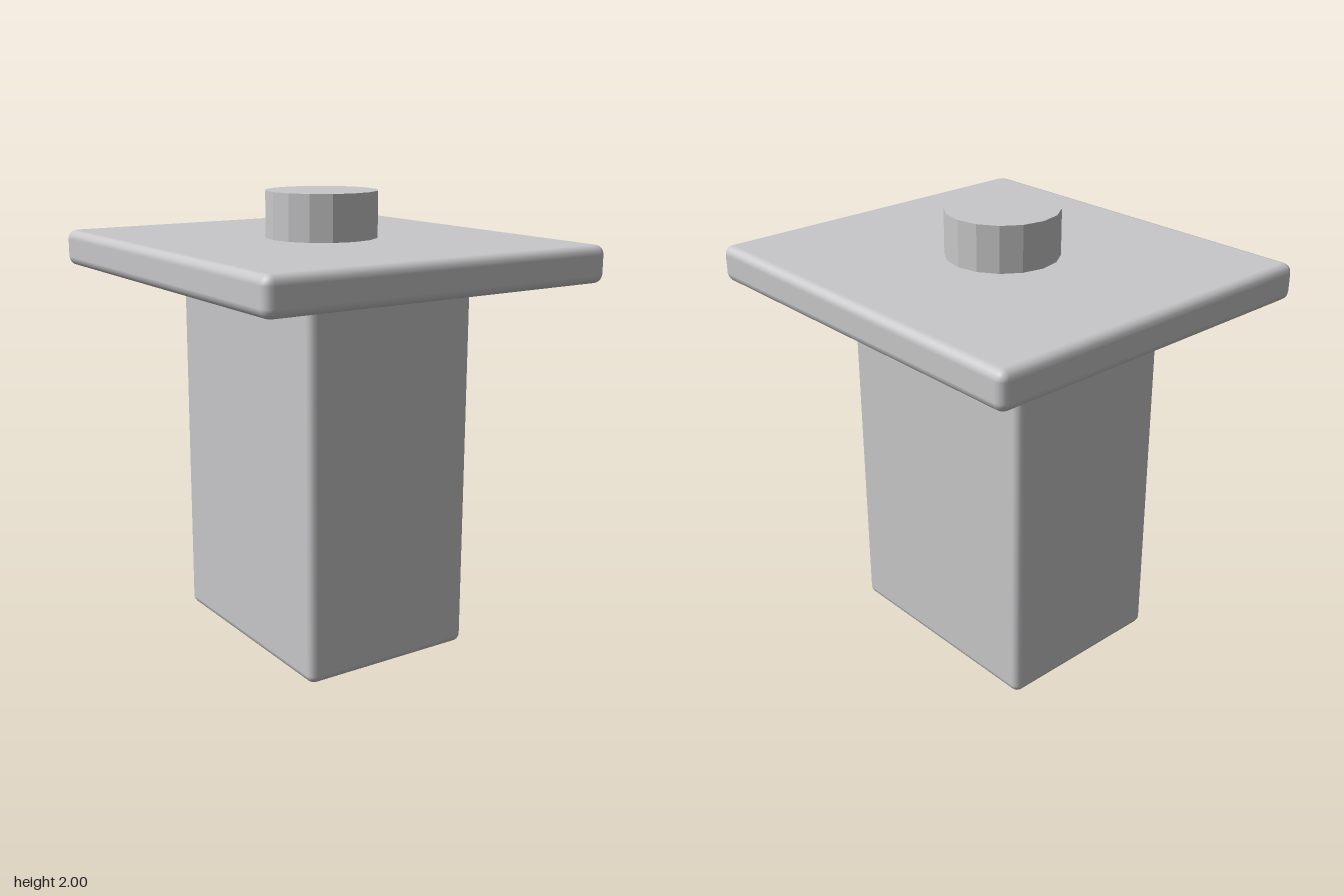
import * as THREE from 'three';
import { RoundedBoxGeometry } from 'three/addons/geometries/RoundedBoxGeometry.js';

export function createModel() {
  const model = new THREE.Group();
  model.name = 'cappedPost';

  const grey = new THREE.MeshStandardMaterial({ color: 0xc8c8ca });
  grey.name = 'light grey';

  // Place a part with its underside at the given height
  const add = (name, geometry, bottom, height) => {
    const mesh = new THREE.Mesh(geometry, grey);
    mesh.name = name;
    mesh.position.y = bottom + height / 2;
    model.add(mesh);
  };

  // Rectangular post and wide cap plate, both with softened edges
  add('post', new RoundedBoxGeometry(0.81, 1.635, 1.075, 2, 0.035), 0.005, 1.635);
  add('capPlate', new RoundedBoxGeometry(1.63, 0.16, 1.79, 2, 0.04), 1.64, 0.16);

  // Sixteen-sided stud; separate face normals keep its sides faceted
  const stud = new THREE.CylinderGeometry(0.245, 0.245, 0.2, 16).toNonIndexed();
  stud.computeVertexNormals();
  add('stud', stud, 1.8, 0.2);

  return model;
}
